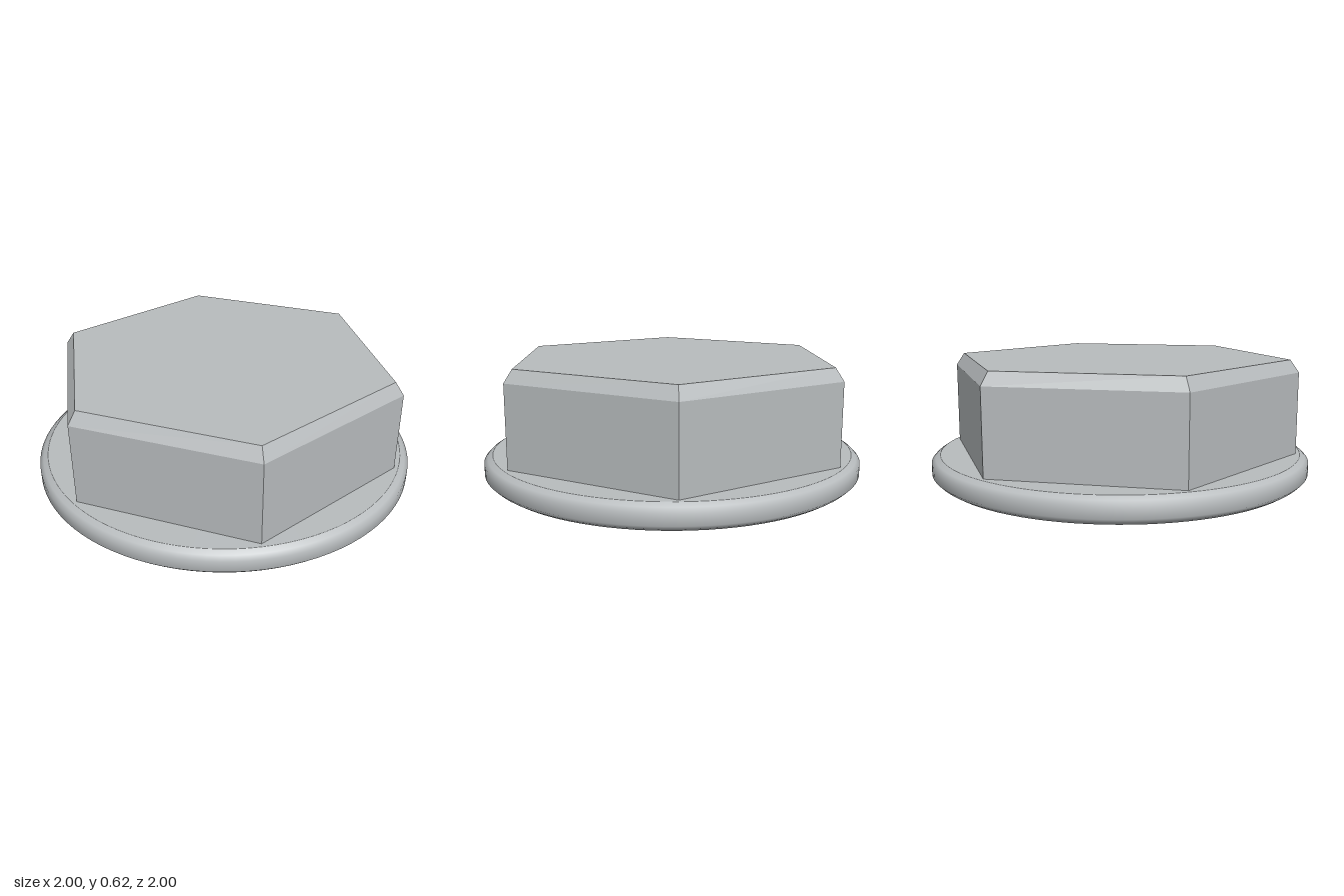
import * as THREE from 'three';

const FLANGE_TOP = 0.13, SHOULDER = 0.555, TOP = 0.62;
const HEX_R = 0.935, HEX_TOP_R = 0.89, FLANGE_FLAT_R = 0.955;

export function createModel() {
  const model = new THREE.Group();
  model.name = 'flangedHexCap';
  const steel = new THREE.MeshStandardMaterial({ color: 0xb8bcbe });
  steel.name = 'light grey steel';

  const add = (parent, name, geometry, y = 0) => {
    const mesh = new THREE.Mesh(geometry, steel);
    mesh.name = name;
    mesh.position.y = y;
    parent.add(mesh);
  };
  const disc = (radius, facing) => new THREE.CircleGeometry(radius, 96).rotateX(-facing * Math.PI / 2);

  // Flange: smooth rounded rim closed by two flat faces
  const flange = new THREE.Group();
  flange.name = 'flange';
  const rim = [[FLANGE_FLAT_R, 0], [0.98, 0.016], [1, 0.036], [1, 0.094], [0.98, 0.114], [FLANGE_FLAT_R, FLANGE_TOP]]
    .map(([r, y]) => new THREE.Vector2(r, y));
  add(flange, 'flangeRim', new THREE.LatheGeometry(rim, 96));
  add(flange, 'flangeUnderside', disc(FLANGE_FLAT_R, -1));
  add(flange, 'flangeTopFace', disc(FLANGE_FLAT_R, 1), FLANGE_TOP);

  // Hexagonal head, corners on the z axis, with a bevelled top edge
  const head = new THREE.Group();
  head.name = 'hexHead';
  const hexBand = (topR, bottomR, y0, y1) => {
    const band = new THREE.CylinderGeometry(topR, bottomR, y1 - y0, 6, 1, true).toNonIndexed();
    band.computeVertexNormals();
    return band.translate(0, (y0 + y1) / 2, 0);
  };
  add(head, 'hexSides', hexBand(HEX_R, HEX_R, FLANGE_TOP, SHOULDER));
  add(head, 'hexBevel', hexBand(HEX_TOP_R, HEX_R, SHOULDER, TOP));
  add(head, 'hexTopFace', new THREE.CircleGeometry(HEX_TOP_R, 6, Math.PI / 2).rotateX(-Math.PI / 2), TOP);

  model.add(flange, head);
  return model;
}
